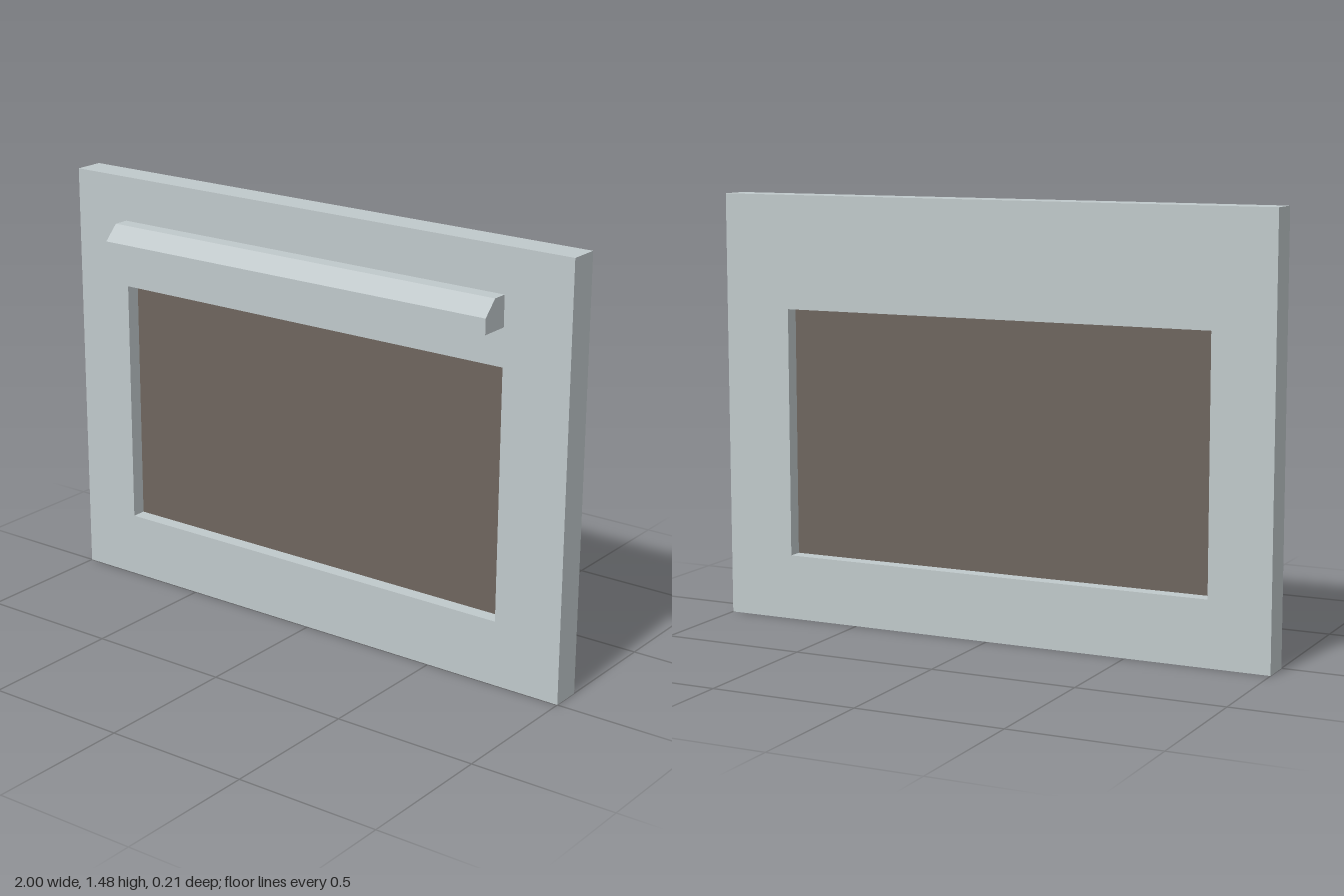
import * as THREE from 'three';

const LEFT = 0.757, RIGHT = -0.785;      // shared span of window and handle
const SILL = 0.225, HEAD = 1.085;        // window bottom and top
const HEIGHT = 1.475, DEPTH = 0.105;

const polygon = (points, Type = THREE.Shape) =>
  new Type(points.map(([x, y]) => new THREE.Vector2(x, y)));

export function createModel() {
  const model = new THREE.Group();
  model.name = 'ovenDoor';

  const metal = new THREE.MeshStandardMaterial({ color: 0xc0c9cb });
  metal.name = 'paleGreyMetal';
  const glass = new THREE.MeshStandardMaterial({ color: 0x6e655e });
  glass.name = 'brownGlass';

  const add = (name, geometry, material) => {
    const mesh = new THREE.Mesh(geometry, material);
    mesh.name = name;
    model.add(mesh);
    return mesh;
  };

  // Door slab with the window cut through
  const slab = polygon([[-1, 0], [1, 0], [1, HEIGHT], [-1, HEIGHT]]);
  slab.holes.push(polygon([[RIGHT, SILL], [RIGHT, HEAD], [LEFT, HEAD], [LEFT, SILL]], THREE.Path));
  const frame = new THREE.ExtrudeGeometry(slab, { depth: DEPTH, bevelEnabled: false });
  add('doorFrame', frame.translate(0, 0, -DEPTH), metal);

  // Thin pane halfway through the slab
  const pane = add('windowPane', new THREE.BoxGeometry(LEFT - RIGHT, HEAD - SILL, 0.004), glass);
  pane.position.set((LEFT + RIGHT) / 2, (SILL + HEAD) / 2, -DEPTH / 2);

  // Handle bar: side profile (z, y) with a chamfered upper front edge, swept along x
  const profile = polygon([[0, 1.215], [0.105, 1.215], [0.105, 1.268], [0.054, 1.32], [0, 1.32]]);
  const bar = new THREE.ExtrudeGeometry(profile, { depth: LEFT - RIGHT, bevelEnabled: false });
  add('handle', bar.rotateY(-Math.PI / 2).translate(LEFT, 0, 0), metal);

  return model;
}
